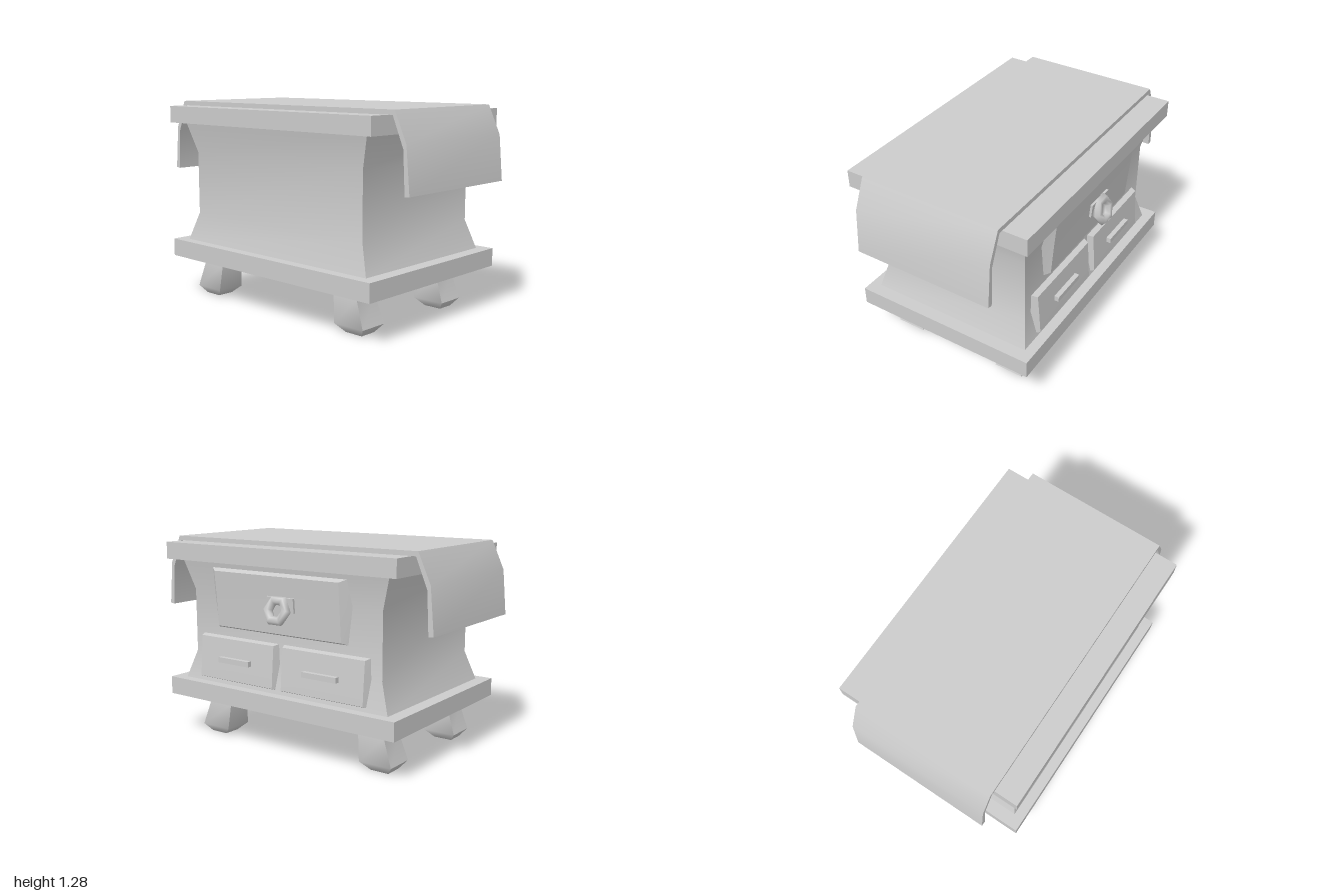
import * as THREE from 'three';
import { toCreasedNormals } from 'three/addons/utils/BufferGeometryUtils.js';

const material = new THREE.MeshStandardMaterial({ color: 0xcccccc });

// Closed solid through rings of points, bottom to top, each counterclockwise from above
function loft(rings, crease = 0.6) {
  const n = rings[0].length, index = [];
  for (let i = 0; i < rings.length - 1; i++) {
    for (let j = 0; j < n; j++) {
      const k = (j + 1) % n, a = i * n, b = a + n;
      index.push(a + j, a + k, b + k, a + j, b + k, b + j);
    }
  }
  const top = (rings.length - 1) * n;
  for (let j = 1; j < n - 1; j++) {
    index.push(0, j + 1, j, top, top + j, top + j + 1);
  }
  const geometry = new THREE.BufferGeometry();
  geometry.setAttribute('position', new THREE.Float32BufferAttribute(rings.flat(2), 3));
  geometry.setIndex(index);
  return toCreasedNormals(geometry, crease);
}

// Rectangular ring at height y
const rect = (y, x0, x1, z0, z1) => [[x1, y, z1], [x1, y, z0], [x0, y, z0], [x0, y, z1]];

// Drawer front row: its face edge and the wider edge against the cabinet
const drawerRow = (z, face, back) => [
  [face.x, face.y, z + face.w], [face.x, face.y, z - face.w],
  [back.x, back.y, z - back.w], [back.x, back.y, z + back.w],
];

export function createModel() {
  const model = new THREE.Group();
  const add = (name, geometry) => {
    const mesh = new THREE.Mesh(geometry, material);
    mesh.name = name;
    model.add(mesh);
    return mesh;
  };
  const box = (name, x0, x1, y0, y1, z0, z1) => {
    const mesh = add(name, new THREE.BoxGeometry(x1 - x0, y1 - y0, z1 - z0));
    mesh.position.set((x0 + x1) / 2, (y0 + y1) / 2, (z0 + z1) / 2);
    return mesh;
  };

  // Base and top slabs
  box('baseSlab', -0.605, 0.588, 0.262, 0.375, -0.857, 0.857);
  box('topSlab', -0.605, 0.588, 1.148, 1.255, -0.857, 0.857);

  // Cabinet with a narrowed waist
  add('cabinet', loft([
    rect(0.375, -0.54, 0.525, -0.775, 0.775),
    rect(0.555, -0.498, 0.485, -0.712, 0.712),
    rect(0.955, -0.498, 0.485, -0.712, 0.712),
    rect(1.148, -0.54, 0.525, -0.775, 0.775),
  ]));

  // Legs, kicked outward at the foot
  for (const side of [-1, 1]) {
    for (const end of [-1, 1]) {
      const ring = (y, x, hx, z, hz) => {
        const cx = side * x - 0.012, cz = end * z - 0.028;
        return rect(y, cx - hx, cx + hx, cz - hz, cz + hz);
      };
      add('leg', loft([
        ring(0, 0.376, 0.054, 0.63, 0.06),
        ring(0.05, 0.375, 0.094, 0.622, 0.109),
        ring(0.215, 0.376, 0.079, 0.585, 0.088),
        ring(0.27, 0.376, 0.076, 0.585, 0.088),
      ], 0.95));
    }
  }

  // Large upper drawer
  add('upperDrawer', loft([
    drawerRow(0.015, { x: 0.517, y: 0.745, w: 0.47 }, { x: 0.48, y: 0.73, w: 0.503 }),
    drawerRow(0.015, { x: 0.533, y: 0.945, w: 0.47 }, { x: 0.483, y: 0.955, w: 0.528 }),
    drawerRow(0.015, { x: 0.547, y: 1.093, w: 0.47 }, { x: 0.517, y: 1.11, w: 0.508 }),
  ]));

  // Pair of small drawers with bar handles
  for (const z of [0.335, -0.325]) {
    add('lowerDrawer', loft([
      drawerRow(z, { x: 0.541, y: 0.408, w: 0.295 }, { x: 0.518, y: 0.398, w: 0.305 }),
      drawerRow(z, { x: 0.53, y: 0.555, w: 0.295 }, { x: 0.483, y: 0.555, w: 0.316 }),
      drawerRow(z, { x: 0.52, y: 0.668, w: 0.295 }, { x: 0.482, y: 0.678, w: 0.312 }),
    ]));
    box('barHandle', 0.525, 0.56, 0.52, 0.553, z - 0.123, z + 0.123);
  }

  // Ring pull hanging from its plate
  box('pullPlate', 0.525, 0.546, 0.885, 0.973, -0.135, 0.065).rotation.z = -0.08;
  const ring = new THREE.TorusGeometry(0.068, 0.03, 6, 6);
  ring.rotateY(Math.PI / 2).rotateZ(0.3);
  add('ringPull', ring).position.set(0.568, 0.897, -0.032);

  // Cloth runner draped over both ends
  const outer = [[0.895, 1.283], [0.975, 1.107], [1, 0.832]];
  const inner = [[0.968, 0.828], [0.955, 1.08], [0.882, 1.255]];
  const half = [...outer, ...inner];
  const outline = [...half, ...half.map(([z, y]) => [-z, y]).reverse()];
  const cloth = new THREE.ExtrudeGeometry(
    new THREE.Shape(outline.map(([z, y]) => new THREE.Vector2(z, y))),
    { depth: 0.897, bevelEnabled: false },
  );
  cloth.rotateY(-Math.PI / 2).translate(0.437, 0, 0);
  add('clothRunner', toCreasedNormals(cloth, 0.6));

  return model;
}
